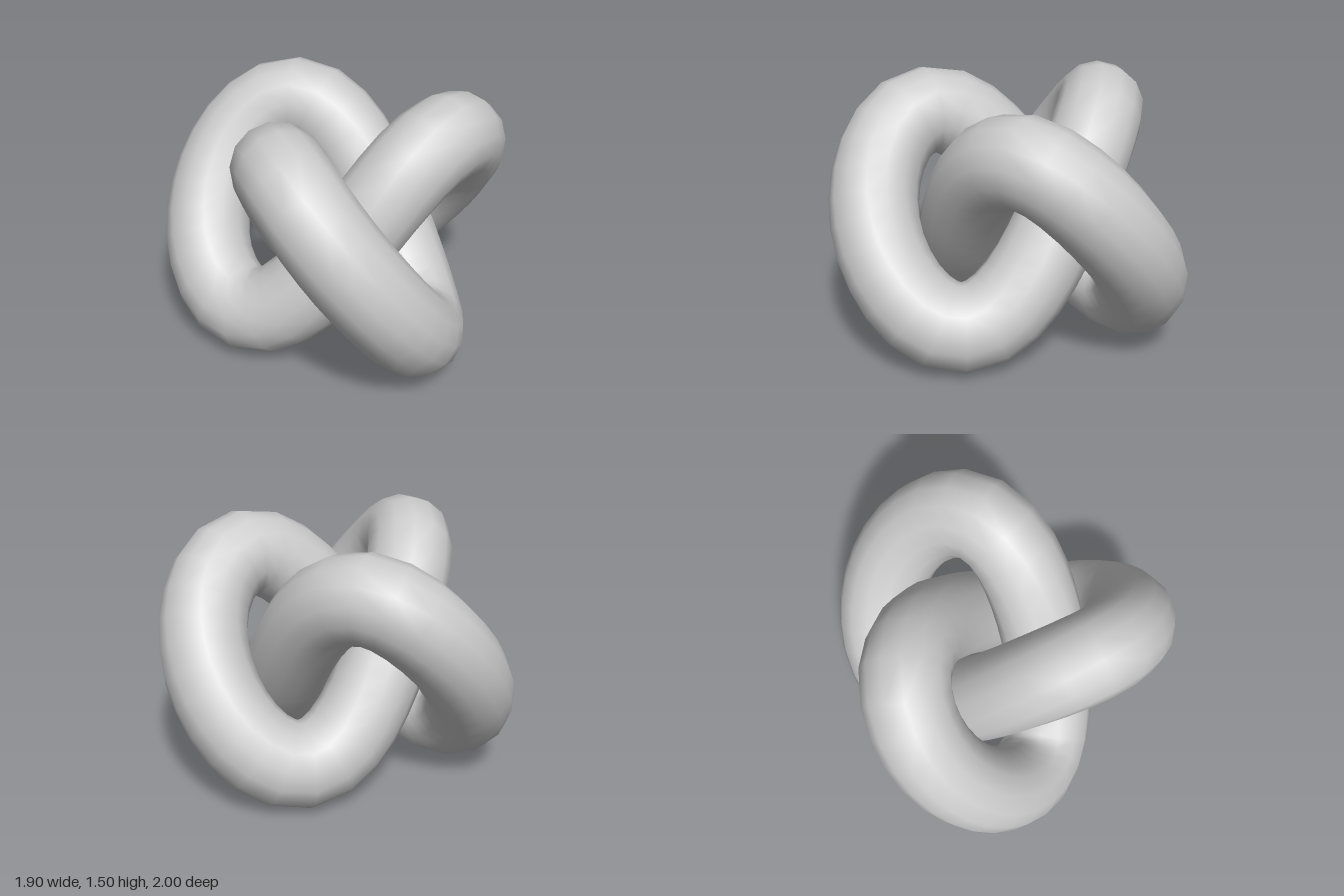
import * as THREE from 'three';

// Closed three-lobed knot path, winding twice around the y axis
class KnotCurve extends THREE.Curve {
  getPoint(u, target = new THREE.Vector3()) {
    const t = u * Math.PI * 2;
    const big = 0.562, small = 0.235, trim = 0.02;
    const x = big * Math.cos(2 * t) + small * Math.cos(t) + trim * Math.cos(5 * t);
    const z = big * Math.sin(2 * t) - small * Math.sin(t) + trim * Math.sin(5 * t);
    const y = Math.sin(3 * t) - 0.06 * Math.sin(6 * t);
    return target.set(0.122 - x, 0.75 + 0.498 * y, -z);
  }
}

export function createModel() {
  const group = new THREE.Group();
  group.name = 'trefoilKnot';

  // Thick round tube swept along the knot
  const tube = new THREE.Mesh(
    new THREE.TubeGeometry(new KnotCurve(), 72, 0.25, 14, true),
    new THREE.MeshStandardMaterial({ color: 0xcccccc })
  );
  tube.name = 'knotTube';
  group.add(tube);
  return group;
}
